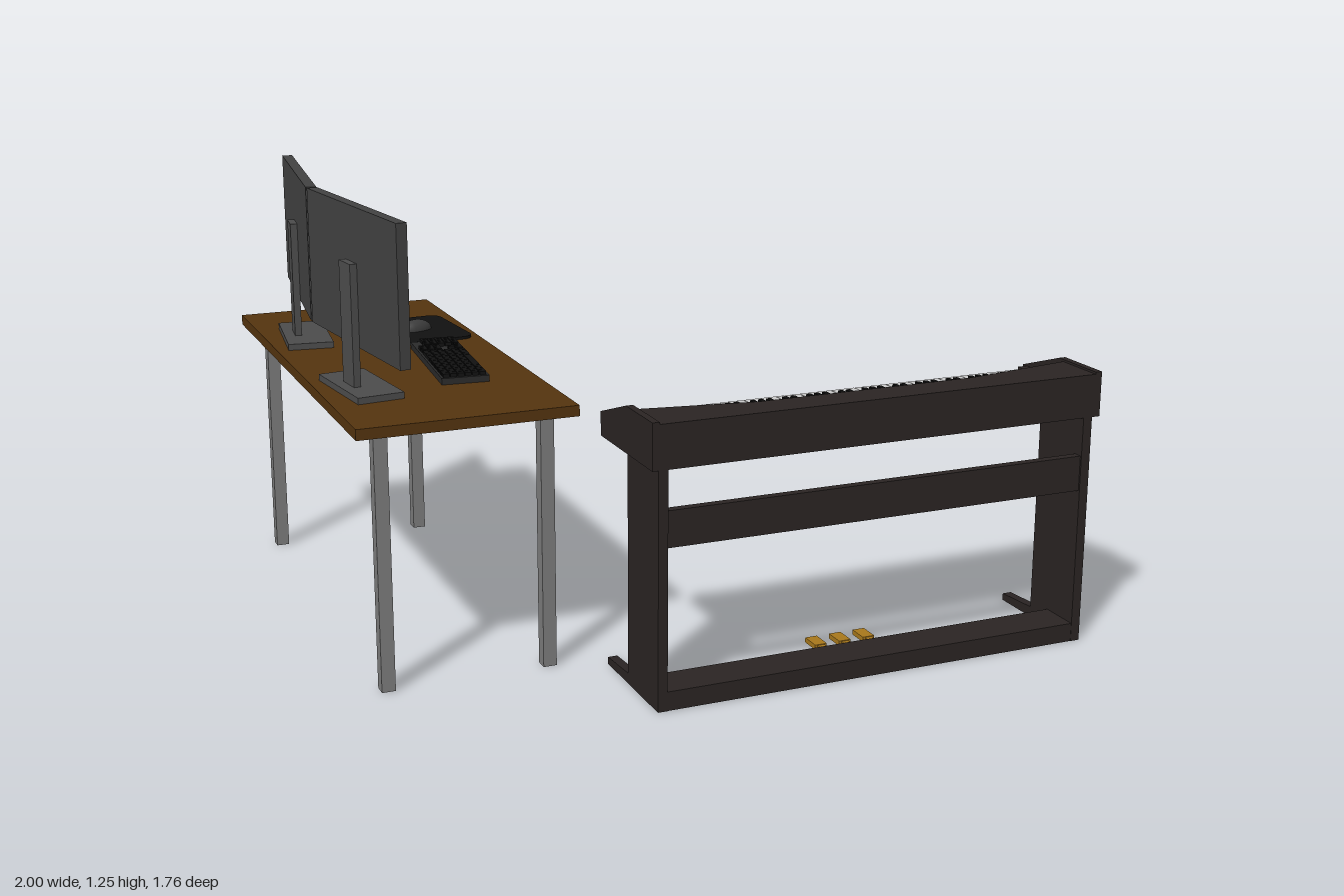
import * as THREE from 'three';
import { mergeGeometries } from 'three/addons/utils/BufferGeometryUtils.js';

const mat = (color) => new THREE.MeshStandardMaterial({ color });
const M = {
  wood: mat(0x54340f), leg: mat(0x7c7c7c), monitor: mat(0x424242), stand: mat(0x4c4c4c),
  screen: mat(0x0c0c0c), pad: mat(0x111111), mouse: mat(0x3c3c3c), tray: mat(0x2a2a2a),
  key: mat(0x111111), piano: mat(0x2a2423), white: mat(0xcccccc), black: mat(0x0c0c0c), gold: mat(0xa8781c),
};

// Box given by its limits on each axis
function boxGeo(x0, x1, y0, y1, z0, z1) {
  return new THREE.BoxGeometry(x1 - x0, y1 - y0, z1 - z0)
    .translate((x0 + x1) / 2, (y0 + y1) / 2, (z0 + z1) / 2);
}
function add(parent, name, geo, material) {
  const mesh = new THREE.Mesh(geo, material);
  mesh.name = name;
  parent.add(mesh);
  return mesh;
}
const box = (parent, name, material, ...limits) => add(parent, name, boxGeo(...limits), material);

function group(parent, name, x = 0, y = 0, z = 0, turn = 0) {
  const g = new THREE.Group();
  g.name = name;
  g.position.set(x, y, z);
  g.rotation.y = turn;
  parent.add(g);
  return g;
}

// Solid through matching [z, y] outlines placed at successive x
function loft(sections) {
  const pos = [];
  const n = sections[0].outline.length;
  const pt = (s, i) => [s.x, s.outline[i % n][1], s.outline[i % n][0]];
  const tri = (a, b, c) => pos.push(...a, ...b, ...c);
  for (let k = 0; k + 1 < sections.length; k++) {
    const a = sections[k], b = sections[k + 1];
    for (let i = 0; i < n; i++) {
      tri(pt(a, i), pt(b, i), pt(b, i + 1));
      tri(pt(a, i), pt(b, i + 1), pt(a, i + 1));
    }
  }
  const first = sections[0], last = sections[sections.length - 1];
  for (let i = 1; i + 1 < n; i++) {
    tri(pt(first, 0), pt(first, i), pt(first, i + 1));
    tri(pt(last, 0), pt(last, i + 1), pt(last, i));
  }
  // Outlines run from the back up and forward, so flip every triangle outward
  for (let i = 0; i < pos.length; i += 9)
    for (let j = 0; j < 3; j++) [pos[i + 3 + j], pos[i + 6 + j]] = [pos[i + 6 + j], pos[i + 3 + j]];
  const geo = new THREE.BufferGeometry();
  geo.setAttribute('position', new THREE.Float32BufferAttribute(pos, 3));
  geo.computeVertexNormals();
  const probe = geo.getAttribute('normal');
  // The first side face is the one at the greatest z
  if (probe.getZ(0) < 0) {
    for (let i = 0; i < pos.length; i += 9)
      for (let j = 0; j < 3; j++) [pos[i + 3 + j], pos[i + 6 + j]] = [pos[i + 6 + j], pos[i + 3 + j]];
    geo.setAttribute('position', new THREE.Float32BufferAttribute(pos, 3));
    geo.computeVertexNormals();
  }
  return geo;
}

function rectPath(path, w, h) {
  path.moveTo(-w / 2, -h / 2);
  path.lineTo(w / 2, -h / 2);
  path.lineTo(w / 2, h / 2);
  path.lineTo(-w / 2, h / 2);
  path.closePath();
  return path;
}

function buildDesk(root) {
  const desk = group(root, 'desk');
  box(desk, 'deskTop', M.wood, -1, -0.395, 0.715, 0.745, -0.88, 0.53);
  for (const x of [-0.925, -0.47])
    for (const z of [-0.80, 0.465])
      box(desk, 'deskLeg', M.leg, x - 0.019, x + 0.019, 0, 0.715, z - 0.019, z + 0.019);
}

// Monitor faces its own +x
function buildMonitor(root, z, turn) {
  const m = group(root, 'monitor', -0.885, 0.745, z, turn);
  box(m, 'standBase', M.stand, -0.066, 0.066, 0, 0.018, -0.146, 0.146);
  box(m, 'standStem', M.stand, -0.035, -0.015, 0.018, 0.355, -0.04, 0.04);
  box(m, 'casing', M.monitor, -0.015, 0.008, 0.125, 0.507, -0.32, 0.32);
  box(m, 'screen', M.screen, 0.007, 0.011, 0.14, 0.49, -0.304, 0.304);
  const shape = rectPath(new THREE.Shape(), 0.64, 0.382);
  shape.holes.push(rectPath(new THREE.Path(), 0.602, 0.344));
  const bezel = new THREE.ExtrudeGeometry(shape, { depth: 0.007, bevelEnabled: false });
  add(m, 'bezel', bezel.rotateY(Math.PI / 2).translate(0.008, 0.316, 0), M.monitor);
}

function buildKeyboard(root) {
  const k = group(root, 'computerKeyboard', -0.583, 0.745, -0.023, -0.09);
  box(k, 'keyboardTray', M.tray, -0.067, 0.067, 0, 0.018, -0.222, 0.222);
  const keys = [];
  const put = (row, z, len) => {
    const x = -0.052 + row * 0.0205;
    keys.push(boxGeo(x - 0.009, x + 0.009, 0.018, 0.028, z - len / 2, z + len / 2));
  };
  for (let row = 0; row < 6; row++) {
    // Main block, with a space bar in the last row
    for (let c = 0; c < 14; c++)
      if (row < 5 || c < 4 || c > 9) put(row, 0.205 - c * 0.0205, 0.018);
    if (row === 5) put(row, 0.0718, 0.12);
    // Cursor block and number block
    for (let c = 0; c < 3; c++)
      if (row < 3 || row === 5 || (row === 4 && c === 1)) put(row, -0.09 - c * 0.018, 0.0155);
    if (row > 0) for (let c = 0; c < 4; c++) put(row, -0.153 - c * 0.019, 0.0165);
  }
  add(k, 'keyboardKeys', mergeGeometries(keys), M.key);
}

function buildMouse(root) {
  // Rounded pad
  const w = 0.133, h = 0.158, r = 0.035;
  const s = new THREE.Shape();
  s.absarc(w - r, h - r, r, 0, Math.PI / 2);
  s.absarc(-w + r, h - r, r, Math.PI / 2, Math.PI);
  s.absarc(-w + r, -h + r, r, Math.PI, Math.PI * 1.5);
  s.absarc(w - r, -h + r, r, Math.PI * 1.5, Math.PI * 2);
  const padGeo = new THREE.ExtrudeGeometry(s, { depth: 0.008, bevelEnabled: false, curveSegments: 6 });
  const pad = group(root, 'mousePadGroup', -0.56, 0.745, -0.45, 0.07);
  add(pad, 'mousePad', padGeo.rotateX(-Math.PI / 2), M.pad);
  // Domed mouse with a wheel
  const mouse = group(root, 'mouse', -0.56, 0.753, -0.44, 0.3);
  const dome = new THREE.SphereGeometry(1, 20, 8, 0, Math.PI * 2, 0, Math.PI / 2);
  add(mouse, 'mouseBody', dome.scale(0.055, 0.032, 0.028), M.mouse);
  const wheel = new THREE.CylinderGeometry(0.008, 0.008, 0.006, 12).rotateX(Math.PI / 2);
  add(mouse, 'mouseWheel', wheel.translate(-0.03, 0.024, 0), M.key);
}

function buildPiano(root) {
  const p = group(root, 'piano');
  // End cheeks
  const cheek = [[0.88, 0.655], [0.88, 0.782], [0.705, 0.782], [0.528, 0.722], [0.528, 0.655]];
  for (const x of [-0.335, 0.98])
    add(p, 'endCheek', loft([{ x, outline: cheek }, { x: x + 0.02, outline: cheek }]), M.piano);
  // Rear case, whose sloped panel is deeper in the middle
  const section = (x, crease) => ({
    x, outline: [[0.88, 0.655], [0.88, 0.776], [crease, 0.776], [0.692, 0.738], [0.692, 0.655]],
  });
  add(p, 'rearCase', loft([section(-0.315, 0.725), section(0.01, 0.78),
    section(0.645, 0.78), section(0.98, 0.725)]), M.piano);
  box(p, 'keyBed', M.piano, -0.315, 0.98, 0.655, 0.69, 0.53, 0.692);
  box(p, 'keySlip', M.piano, -0.315, 0.98, 0.69, 0.708, 0.53, 0.548);
  box(p, 'keyBlock', M.piano, 0.95, 0.98, 0.69, 0.722, 0.548, 0.692);

  // 52 white and 36 black keys, lowest note at +x
  const white = [], black = [], pitch = 1.265 / 52;
  for (let i = 0; i < 52; i++) {
    const x = 0.95 - i * pitch;
    white.push(boxGeo(x - pitch + 0.0012, x - 0.0012, 0.69, 0.715, 0.55, 0.692));
    if (i < 51 && [0, 2, 3, 5, 6].includes(i % 7))
      black.push(boxGeo(x - pitch - 0.007, x - pitch + 0.007, 0.70, 0.728, 0.602, 0.692));
  }
  add(p, 'whiteKeys', mergeGeometries(white), M.white);
  add(p, 'blackKeys', mergeGeometries(black), M.black);

  // Stand: side panels with feet, cross board, bottom rail
  const foot = [[0.676, 0], [0.676, 0.03], [0.53, 0.02], [0.53, 0]];
  for (const x of [-0.318, 0.949]) {
    box(p, 'sidePanel', M.piano, x, x + 0.027, 0, 0.655, 0.675, 0.88);
    add(p, 'foot', loft([{ x, outline: foot }, { x: x + 0.027, outline: foot }]), M.piano);
  }
  box(p, 'crossBoard', M.piano, -0.291, 0.949, 0.445, 0.545, 0.85, 0.875);
  box(p, 'bottomRail', M.piano, -0.291, 0.949, 0, 0.053, 0.76, 0.879);

  // Three pedals
  for (const dx of [-0.075, 0, 0.075]) {
    const x = 0.33 + dx;
    box(p, 'pedalArm', M.gold, x - 0.01, x + 0.01, 0.016, 0.026, 0.68, 0.76);
    box(p, 'pedalPlate', M.gold, x - 0.018, x + 0.018, 0.014, 0.028, 0.63, 0.69);
  }
}

export function createModel() {
  const root = new THREE.Group();
  root.name = 'musicDeskSetup';
  buildDesk(root);
  buildMonitor(root, 0.15, 0.12);
  buildMonitor(root, -0.497, -0.12);
  buildKeyboard(root);
  buildMouse(root);
  buildPiano(root);
  return root;
}
